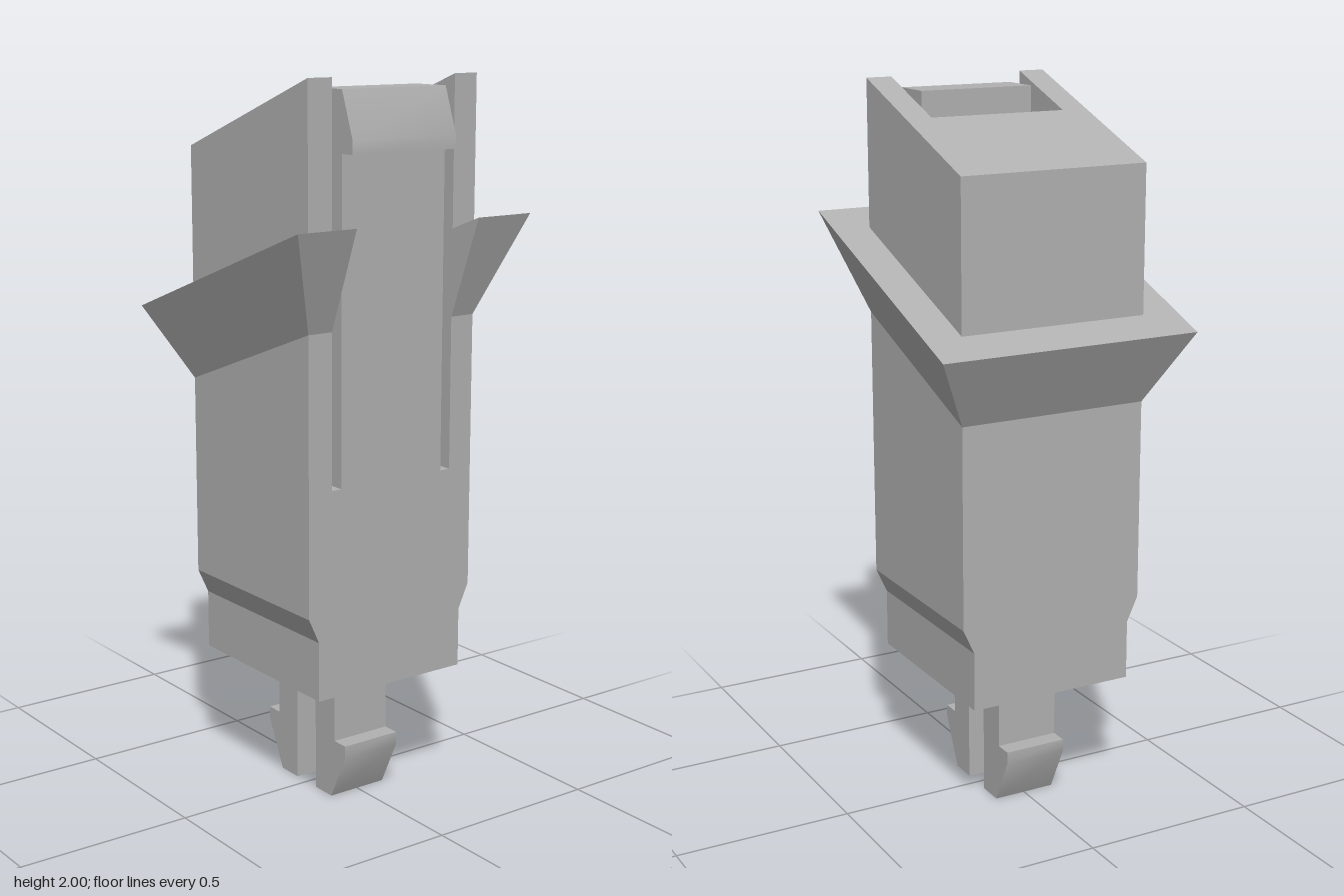
import * as THREE from 'three';
import { toCreasedNormals } from 'three/addons/utils/BufferGeometryUtils.js';
import { ConvexGeometry } from 'three/addons/geometries/ConvexGeometry.js';

const plastic = new THREE.MeshStandardMaterial({ color: 0xb0b0b0 });
plastic.name = 'grey plastic';

// main dimensions
const X0 = -0.275, X1 = 0.27, ZB = 0.272;   // body faces
const CEIL = 0.8;                           // top of the hollow base
const SLOT_X = 0.03, ARM_X = 0.15, SLOT_Y = 0.94;
const SLOT_Z = 0.198, ARM_Z = 0.167;
const topY = (x) => 2 + (x - X1) * 0.364;   // sloping top plane

function createShape(points) {
  return new THREE.Shape(points.map(([a, b]) => new THREE.Vector2(a, b)));
}

// Prism from an (x, y) profile between two z values
function prismZ(points, z0, z1) {
  const geo = new THREE.ExtrudeGeometry(createShape(points), { depth: z1 - z0, bevelEnabled: false });
  geo.translate(0, 0, z0);
  return toCreasedNormals(geo, 0.5);
}

// Prism from a (z, y) profile between two x values
function prismX(points, x0, x1) {
  const geo = new THREE.ExtrudeGeometry(createShape(points), { depth: x1 - x0, bevelEnabled: false });
  geo.rotateY(Math.PI / 2);
  geo.translate(x0, 0, 0);
  return geo;
}

export function createModel() {
  const model = new THREE.Group();
  model.name = 'snapInHousing';
  const add = (name, geo) => {
    const mesh = new THREE.Mesh(geo, plastic);
    mesh.name = name;
    model.add(mesh);
  };

  // Round-bottomed trough behind the latch arm, from its back wall to the arm
  const trough = [];
  const r = (ARM_X - SLOT_X) / 2;
  for (let i = 0; i <= 16; i++) {
    const a = Math.PI + (Math.PI * i) / 16;
    trough.push([SLOT_X + r + r * Math.cos(a), SLOT_Y + r * Math.sin(a)]);
  }
  const back = [[X1, CEIL], [X0, CEIL], [X0, topY(X0)], [SLOT_X, topY(SLOT_X)], ...trough];

  // Core with the springy latch arm and its hook
  add('latchCore', prismZ([
    ...back, [ARM_X, 1.97], [X1, 1.97], [0.315, 1.845], [0.315, 1.81], [X1, 1.81],
  ], -ARM_Z, ARM_Z));

  for (const s of [-1, 1]) {
    const span = (a, b) => (s > 0 ? [a, b] : [-b, -a]);

    // Slit beside the arm, and the solid cheek outside it
    add('slitSection', prismZ([...back, [X1, SLOT_Y]], ...span(ARM_Z, SLOT_Z)));
    add('cheek', prismZ([
      [X0, CEIL], [X1, CEIL], [X1, topY(X1)], [X0, topY(X0)],
    ], ...span(SLOT_Z, ZB)));

    // Flared collar along the side
    const side = [];
    for (const [x, y, z] of [
      [X0, 1.16, ZB], [X1, 1.36, ZB], [-0.378, 1.36, 0.377], [0.375, 1.635, 0.377],
      [X0, 1.16, SLOT_Z], [X1, 1.36, SLOT_Z], [-0.378, 1.36, SLOT_Z], [0.375, 1.635, SLOT_Z],
    ]) side.push(new THREE.Vector3(x, y, s * z));
    add('collarSide', new ConvexGeometry(side));

    // Split mounting prong with barb
    const prong = [
      [0.045, 0], [0.12, 0], [0.185, 0.135], [0.185, 0.17], [0.135, 0.17], [0.135, CEIL], [0.045, CEIL],
    ];
    add('prong', prismZ(prong.map(([x, y]) => [s * x, y]), -0.09, 0.09));
  }

  // Flared collar across the closed end
  const end = [];
  for (const [x, y] of [[X0, 1.16], [-0.2, 1.187], [-0.378, 1.36], [-0.2, 1.425]]) {
    for (const z of [-SLOT_Z, SLOT_Z]) end.push(new THREE.Vector3(x, y, z));
  }
  add('collarEnd', new ConvexGeometry(end));

  // Hollow base, stepped in on both sides near the bottom
  const outer = [[0.24, 0.365], [0.24, 0.53], [ZB, 0.6], [ZB, CEIL]];
  const mirrored = outer.map(([z, y]) => [-z, y]).reverse();
  const HX = 0.195, HZ = 0.135;
  add('baseEnd', prismX([...outer, ...mirrored], X0, -HX));
  add('baseEnd', prismX([...outer, ...mirrored], HX, X1));
  for (const s of [-1, 1]) {
    const wall = [[HZ, 0.365], ...outer, [HZ, CEIL]];
    add('baseWall', prismX(wall.map(([z, y]) => [s * z, y]), -HX, HX));
  }

  return model;
}
